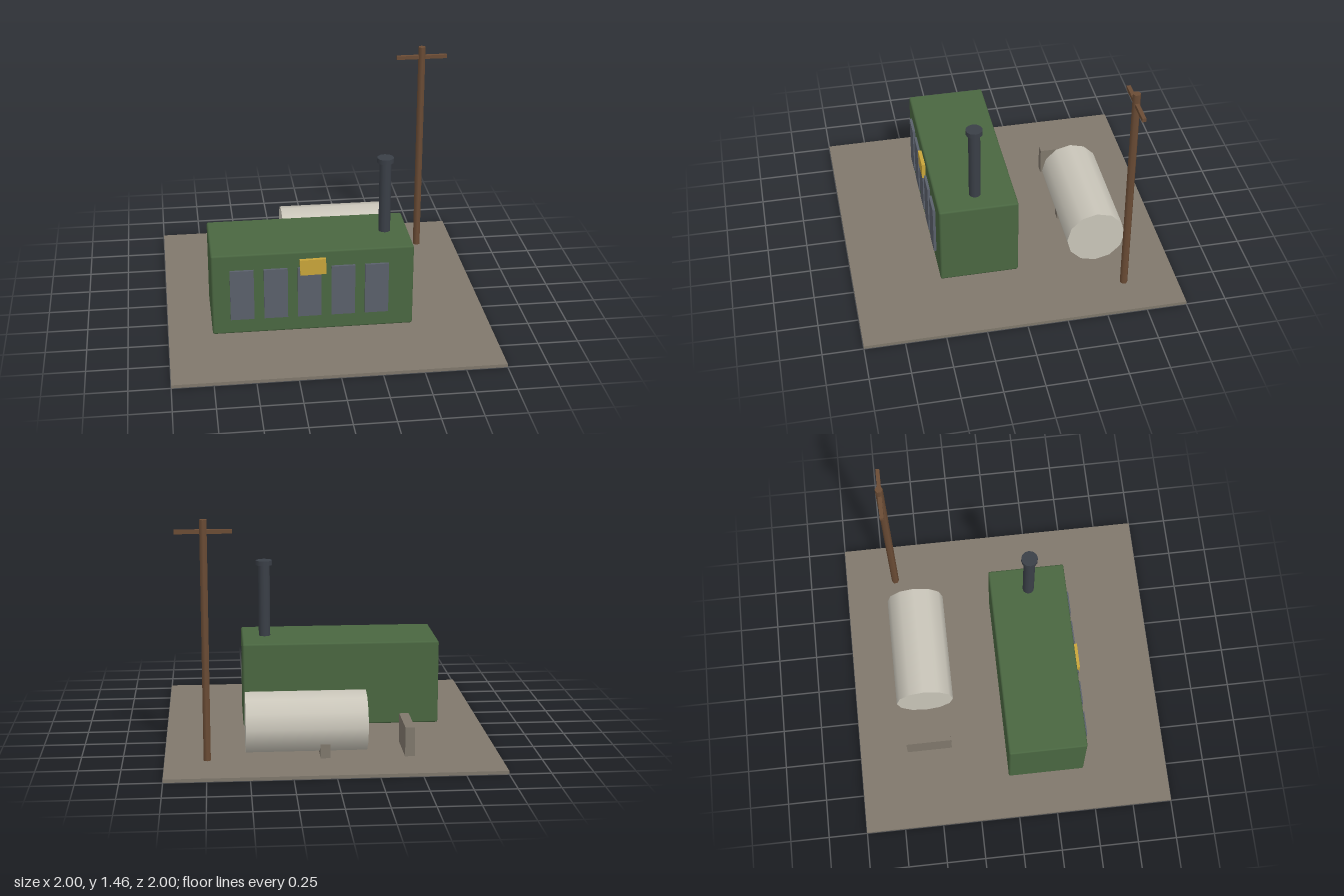
import * as THREE from 'three';
import { RoundedBoxGeometry } from 'three/addons/geometries/RoundedBoxGeometry.js';

function material(name, color) {
  const m = new THREE.MeshStandardMaterial({ color });
  m.name = name;
  return m;
}

export function createModel() {
  const concrete = material('concrete', 0x80786c);
  const green = material('green paint', 0x4a6741);
  const slate = material('slate louvre', 0x5a606b);
  const yellow = material('warning yellow', 0xc9a53a);
  const iron = material('dark iron', 0x3a3f47);
  const cream = material('tank cream', 0xcac6ba);
  const wood = material('brown wood', 0x6b4c35);

  const root = new THREE.Group();
  root.name = 'generatorYard';

  function add(name, geometry, mat, x, y, z, parent = root) {
    const mesh = new THREE.Mesh(geometry, mat);
    mesh.name = name;
    mesh.position.set(x, y, z);
    parent.add(mesh);
    return mesh;
  }
  function group(name) {
    const g = new THREE.Group();
    g.name = name;
    root.add(g);
    return g;
  }
  const box = (w, h, d) => new THREE.BoxGeometry(w, h, d);
  const cylinder = (r, h, sides) => new THREE.CylinderGeometry(r, r, h, sides);

  // Ground slab
  add('groundSlab', box(2, 0.02, 2), concrete, 0, 0.01, 0);

  // Generator housing with softened edges
  const generator = group('generator');
  add('housing', new RoundedBoxGeometry(1.246, 0.538, 0.495, 1, 0.012), green, -0.105, 0.296, 0.207, generator);

  // Row of louvre panels on the front
  for (let i = 0; i < 5; i++) {
    add('louvrePanel', box(0.146, 0.332, 0.024), slate, -0.543 + i * 0.2077, 0.297, 0.459, generator);
  }

  // Warning plate, hung slightly crooked
  const plate = add('warningPlate', box(0.16, 0.102, 0.024), yellow, -0.107, 0.468, 0.465, generator);
  plate.rotation.z = 0.02;

  // Exhaust stack and its cap
  add('exhaustStack', cylinder(0.037, 0.5, 12), iron, 0.371, 0.79, 0.207, generator);
  add('exhaustCap', cylinder(0.052, 0.03, 12), iron, 0.371, 1.041, 0.207, generator);

  // Fuel tank lying along x, on block supports
  const fuel = group('fuelStore');
  const tank = add('fuelTank', cylinder(0.186, 0.727, 12), cream, 0.154, 0.211, -0.54, fuel);
  // turn a ridge to the top before laying the tank down
  tank.rotation.z = Math.PI / 2;
  for (const x of [-0.461, 0.045]) {
    add('tankSupport', box(0.058, 0.18, 0.294), concrete, x, 0.11, -0.542, fuel);
  }

  // Utility pole with crossarm
  const pole = group('utilityPole');
  add('poleShaft', cylinder(0.0245, 1.44, 6), wood, 0.747, 0.74, -0.667, pole);
  add('crossarm', box(0.333, 0.024, 0.024), wood, 0.747, 1.391, -0.667, pole);

  return root;
}
